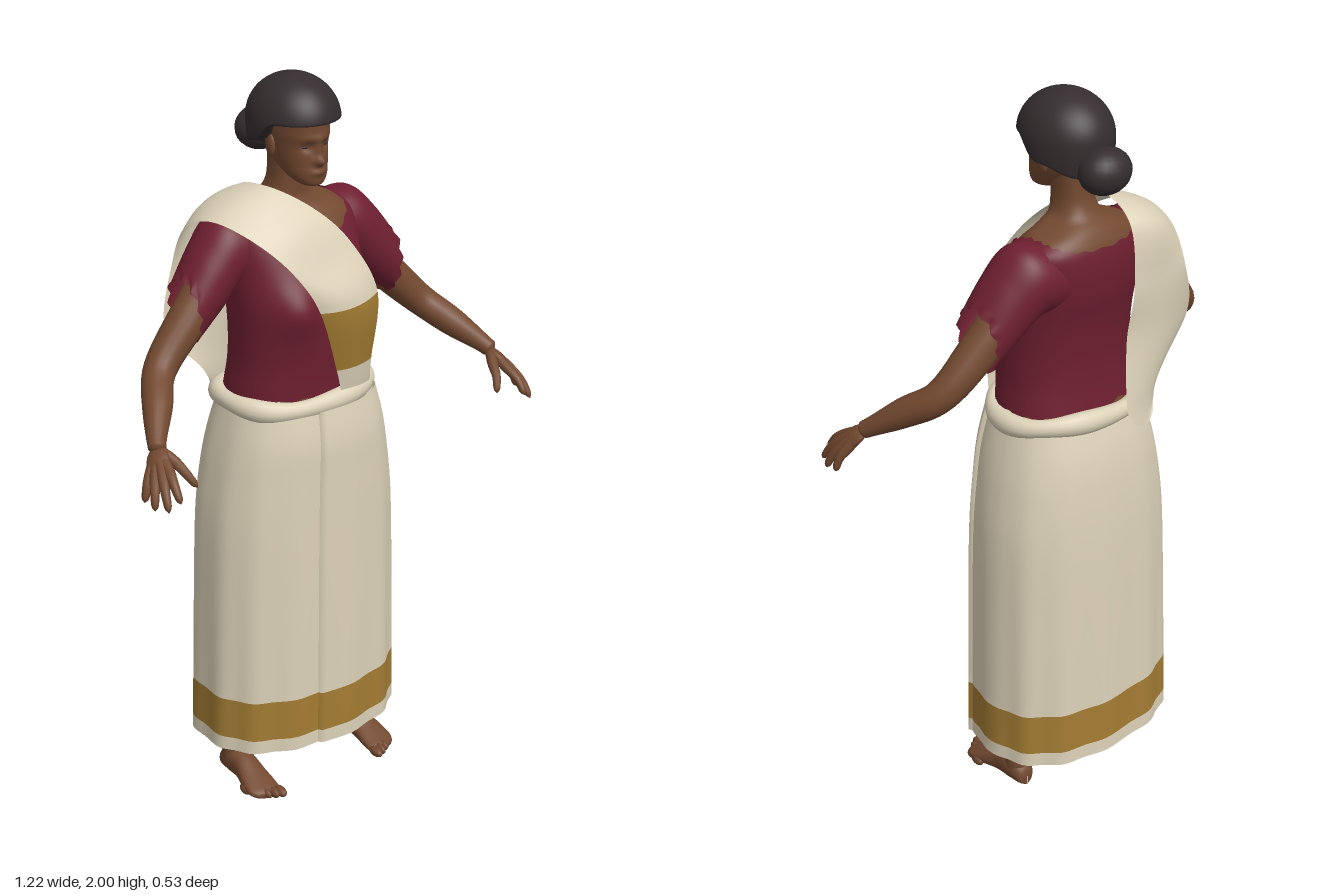
import * as THREE from 'three';
import { mergeVertices } from 'three/addons/utils/BufferGeometryUtils.js';

const paint = (name, color, double) => {
  const m = new THREE.MeshStandardMaterial({ color });
  m.name = name;
  if (double) m.side = THREE.DoubleSide;
  return m;
};
const V = (x, y, z) => new THREE.Vector3(x, y, z);
const TAU = Math.PI * 2;
const bump = (x, y, cx, cy, wx, wy) => Math.exp(-(((x - cx) / wx) ** 2) - ((y - cy) / wy) ** 2);

// Smooth grid surface from fn(u, v); side -1 mirrors it to the other half
function surface(fn, nu, nv, side = 1) {
  const pos = [], idx = [];
  for (let j = 0; j <= nv; j++) for (let i = 0; i <= nu; i++) {
    const p = fn(i / nu, j / nv);
    pos.push(p.x * side, p.y, p.z);
  }
  for (let j = 0; j < nv; j++) for (let i = 0; i < nu; i++) {
    const a = j * (nu + 1) + i, b = a + 1, c = b + nu + 1, d = a + nu + 1;
    if (side > 0) idx.push(a, b, c, a, c, d);
    else idx.push(a, c, b, a, d, c);
  }
  let g = new THREE.BufferGeometry();
  g.setAttribute('position', new THREE.Float32BufferAttribute(pos, 3));
  g.setIndex(idx);
  g = mergeVertices(g, 1e-5);
  g.computeVertexNormals();
  return g;
}

// Catmull-Rom interpolation of rows of numbers at row position s
function rowAt(rows, s) {
  const n = rows.length - 1, i = Math.max(0, Math.min(Math.floor(s), n - 1)), t = s - i;
  const r = k => rows[Math.max(0, Math.min(n, k))];
  return rows[i].map((p1, k) => {
    const p0 = r(i - 1)[k], p2 = r(i + 1)[k], p3 = r(i + 2)[k];
    return p1 + 0.5 * t * (p2 - p0 + t * (2 * p0 - 5 * p1 + 4 * p2 - p3 + t * (3 * (p1 - p2) + p3 - p0)));
  });
}

const pw = (c, p) => Math.sign(c) * Math.abs(c) ** p;
// Point on an upright body of rows [y, halfWidth, zFront, zBack]; angle 0 is the front
function around(rows, s, a, grow = 0, p = 0.85) {
  const [y, rx, zf, zb] = rowAt(rows, s);
  return V((rx + grow) * pw(Math.sin(a), p), y, (zf + zb) / 2 + ((zf - zb) / 2 + grow) * pw(Math.cos(a), p));
}

// Round limb through points [x, y, z, radius] with rounded ends
function limb(pts, side = 1, nu = 14, nv = 24) {
  const ref = V(0, 0, 1), curve = new THREE.CatmullRomCurve3(pts.map(p => V(p[0], p[1], p[2])));
  return surface((u, v) => {
    const c = curve.getPoint(v), T = curve.getTangent(v);
    const N = ref.clone().cross(T).normalize(), B = T.clone().cross(N);
    const cap = Math.min(1, Math.sqrt(Math.min(v, 1 - v) / 0.09));
    const r = rowAt(pts, v * (pts.length - 1))[3] * cap;
    return c.addScaledVector(N, r * Math.cos(u * TAU)).addScaledVector(B, r * Math.sin(u * TAU));
  }, nu, nv, side);
}

const TORSO = [
  [1.10, 0.19, 0.095, -0.18], [1.17, 0.188, 0.095, -0.17], [1.25, 0.178, 0.10, -0.16],
  [1.33, 0.176, 0.108, -0.16], [1.42, 0.178, 0.108, -0.17], [1.50, 0.18, 0.085, -0.185],
  [1.57, 0.185, 0.055, -0.19], [1.62, 0.18, 0.025, -0.185], [1.65, 0.145, 0.0, -0.172],
  [1.67, 0.10, -0.008, -0.157], [1.69, 0.065, -0.012, -0.135], [1.73, 0.051, -0.01, -0.118],
  [1.80, 0.05, -0.01, -0.115]];
function torso(s, a, grow) {
  const p = around(TORSO, s, a, grow);
  if (Math.cos(a) > 0) p.z += 0.026 * bump(Math.abs(p.x), p.y, 0.095, 1.42, 0.06, 0.07);
  return p;
}

const HEAD = [
  [1.727, 0.002, 0.05, 0.045], [1.734, 0.03, 0.068, 0.0], [1.755, 0.05, 0.073, -0.05],
  [1.79, 0.063, 0.071, -0.10], [1.83, 0.07, 0.069, -0.125], [1.87, 0.075, 0.073, -0.14],
  [1.92, 0.075, 0.066, -0.14], [1.97, 0.045, 0.02, -0.10]];

const SKIRT = [
  [0.14, 0.293, 0.15, -0.265], [0.18, 0.292, 0.15, -0.264], [0.30, 0.289, 0.15, -0.262],
  [0.55, 0.283, 0.149, -0.257], [0.80, 0.274, 0.147, -0.25], [0.95, 0.256, 0.145, -0.24],
  [1.05, 0.236, 0.142, -0.225], [1.14, 0.212, 0.125, -0.2]];

// Shawl rows, outer edge, middle and inner edge, from front waist over the shoulder to the back
const SHAWL = [
  [0.04, 1.17, 0.118, 0.10, 1.17, 0.115, 0.155, 1.17, 0.09],
  [0.02, 1.24, 0.125, 0.08, 1.24, 0.13, 0.145, 1.24, 0.108],
  [-0.045, 1.42, 0.142, 0.05, 1.42, 0.157, 0.15, 1.43, 0.125],
  [-0.11, 1.53, 0.12, -0.01, 1.53, 0.115, 0.09, 1.57, 0.085],
  [-0.18, 1.61, 0.055, -0.08, 1.63, 0.06, 0.01, 1.66, 0.035],
  [-0.24, 1.65, -0.05, -0.16, 1.69, -0.05, -0.08, 1.715, -0.05],
  [-0.26, 1.61, -0.15, -0.17, 1.65, -0.195, -0.08, 1.67, -0.185],
  [-0.27, 1.50, -0.20, -0.17, 1.50, -0.22, -0.075, 1.50, -0.215],
  [-0.315, 1.34, -0.17, -0.18, 1.34, -0.215, -0.06, 1.35, -0.205],
  [-0.20, 1.20, -0.18, -0.13, 1.18, -0.22, -0.04, 1.18, -0.23],
  [-0.14, 1.12, -0.225, -0.10, 1.10, -0.235, -0.05, 1.13, -0.24]];

export function createModel() {
  const root = new THREE.Group();
  const skin = paint('skin', 0x734930), maroon = paint('maroon cloth', 0x6e1f30, true);
  const cream = paint('cream cloth', 0xdcd1b8, true), gold = paint('gold border', 0xa37c33, true);
  const hair = paint('hair', 0x352d2f, true);
  const add = (name, geo, mat) => {
    const m = new THREE.Mesh(geo, mat);
    m.name = name;
    root.add(m);
    return m;
  };
  const blob = (name, mat, x, y, z, sx, sy, sz) => {
    const m = add(name, new THREE.SphereGeometry(1, 20, 14), mat);
    m.position.set(x, y, z);
    m.scale.set(sx, sy, sz);
    return m;
  };

  // Neck, chest and head
  add('neckAndChest', surface((u, v) => torso(v * 12, u * TAU, 0), 48, 48), skin);
  add('head', surface((u, v) => {
    const p = around(HEAD, v * 7, (u - 0.5) * TAU, 0, 0.95), ax = Math.abs(p.x);
    if (p.z > 0) p.z += 0.02 * bump(ax, p.y, 0, 1.797, 0.013, 0.012) + 0.009 * bump(ax, p.y, 0, 1.825, 0.009, 0.025)
      + 0.007 * bump(ax, p.y, 0, 1.768, 0.024, 0.01) + 0.004 * bump(ax, p.y, 0, 1.855, 0.05, 0.01)
      - 0.008 * bump(ax, p.y, 0.028, 1.833, 0.014, 0.012);
    return p;
  }, 96, 70), skin);

  // Hair cap with a lower edge that drops towards the back, and the bun
  add('hair', surface((u, v) => {
    const a = u * TAU, c = Math.cos(a);
    const low = 1.895 - 0.055 * THREE.MathUtils.smoothstep(-c, -0.45, 0.1) - 0.035 * THREE.MathUtils.smoothstep(-c, 0.2, 1);
    const t = Math.max(0, (v - 0.15) / 0.85), y = low + (2 - low) * Math.sin(t * Math.PI / 2);
    const k = y > 1.885 ? Math.sqrt(Math.max(0, 1 - ((y - 1.885) / 0.115) ** 2)) : 1 - 9 * (1.885 - y) ** 2;
    const f = k * (v < 0.15 ? 0.55 + 3 * v : 1);
    return V(0.116 * f * Math.sin(a), y, -0.039 + 0.132 * f * c);
  }, 56, 40), hair);
  blob('hairBun', hair, 0, 1.825, -0.18, 0.074, 0.06, 0.06);

  // Blouse, open at the neck
  add('blouse', surface((u, v) => {
    const a = u * TAU, c = Math.cos(a);
    const top = 8.2 - (c > 0 ? 2.1 * c * c : 1.0 * c * c) + 0.08 * Math.sin(a * 23);
    const low = 1 + 0.08 * Math.sin(a * 17);
    return torso(low + (top - low) * v, a, 0.009);
  }, 96, 40), maroon);

  const SLEEVE = [[0.11, 1.55, -0.085, 0.09, 0.095, 0], [0.19, 1.555, -0.085, 0.10, 0.092, 0.15],
    [0.25, 1.50, -0.075, 0.095, 0.084, 0.25], [0.32, 1.425, -0.065, 0.088, 0.074, 0.12]];
  const FOOT = [[-0.10, 0.197, 0.001, 0.03], [-0.092, 0.197, 0.026, 0.055], [-0.05, 0.197, 0.036, 0.085],
    [0.0, 0.198, 0.035, 0.08], [0.05, 0.202, 0.043, 0.055], [0.09, 0.203, 0.046, 0.036], [0.115, 0.198, 0.036, 0.025], [0.125, 0.196, 0.001, 0.015]];
  // Finger knuckle and tip points
  const FINGERS = [[0.543, 1.142, 0.192, 0.553, 1.08, 0.262], [0.558, 1.135, 0.187, 0.582, 1.06, 0.252],
    [0.569, 1.128, 0.173, 0.599, 1.055, 0.215], [0.573, 1.125, 0.155, 0.602, 1.062, 0.172],
    [0.513, 1.15, 0.172, 0.482, 1.092, 0.228]];

  for (const s of [1, -1]) {
    const n = s > 0 ? 'left' : 'right';
    add(n + 'Sleeve', surface((u, v) => {
      const [x, y, z, h, d, t] = rowAt(SLEEVE, v * 3), a = u * TAU;
      const frill = v > 0.95 ? 0.006 * Math.sin(a * 11) : 0;
      return V(x + Math.sin(t) * h * Math.cos(a) + frill, y + Math.cos(t) * h * Math.cos(a), z + d * Math.sin(a));
    }, 44, 24, s), maroon);
    add(n + 'Arm', limb([[0.20, 1.52, -0.08, 0.055], [0.31, 1.405, -0.065, 0.052], [0.42, 1.295, -0.035, 0.043],
      [0.475, 1.24, 0.04, 0.039], [0.527, 1.187, 0.115, 0.025], [0.54, 1.17, 0.14, 0.024]], s, 18, 36), skin);
    // Flat palm turned to follow the fingers
    const along = V(0.35, -0.6, 0.72).normalize(), across = V(0.5, -0.3, -0.6);
    const normal = along.clone().cross(across).normalize();
    across.copy(normal).cross(along);
    const palm = new THREE.Matrix4().makeBasis(along, across, normal).setPosition(0.55, 1.15, 0.157);
    add(n + 'Palm', surface((u, v) => V(0.046 * Math.sin(v * Math.PI) * Math.cos(u * TAU),
      0.032 * Math.sin(v * Math.PI) * Math.sin(u * TAU), -0.016 * Math.cos(v * Math.PI)).applyMatrix4(palm), 18, 12, s), skin);
    FINGERS.forEach(([kx, ky, kz, tx, ty, tz], i) => add(n + 'Finger' + (i + 1), limb([[0.535, 1.175, 0.13, 0.014],
      [kx, ky, kz, 0.0145], [(kx + tx) / 2 + 0.003, (ky + ty) / 2 + 0.006, (kz + tz) / 2 + 0.003, 0.012], [tx, ty, tz, 0.009]], s, 10, 18), skin));

    // Leg, foot and toes
    add(n + 'Leg', limb([[0.12, 0.95, -0.05, 0.09], [0.15, 0.6, -0.055, 0.07], [0.18, 0.36, -0.065, 0.055],
      [0.197, 0.17, -0.058, 0.037], [0.197, 0.06, -0.056, 0.035], [0.197, 0.02, -0.056, 0.034]], s, 18, 30), skin);
    add(n + 'Foot', surface((u, v) => {
      const [z, x, w, h] = rowAt(FOOT, v * 7), a = u * TAU;
      return V(x + w * Math.cos(a), h / 2 + h / 2 * pw(Math.sin(a), 0.8), z);
    }, 24, 28, s), skin);
    for (let i = 0; i < 5; i++)
      blob(n + 'Toe' + (i + 1), skin, s * (0.168 + i * 0.0185), 0.014, 0.128 - 0.004 * i * i, i ? 0.0105 : 0.014, 0.014, i ? 0.022 : 0.026);

    // Ear, eye and brow
    blob(n + 'Ear', skin, s * 0.073, 1.825, -0.035, 0.009, 0.03, 0.017);
    blob(n + 'Eye', hair, s * 0.028, 1.833, 0.053, 0.011, 0.004, 0.004);
  }

  // Wrapped skirt with gold border; the front flap lies over it with folded edges
  const bands = [['Hem', 0, 1, cream, 2], ['Border', 1, 2, gold, 4], ['Cloth', 2, 7, cream, 30]];
  const fold = (a, y) => 0.004 * Math.sin(a * 13) * (1.15 - y);
  for (const [name, s0, s1, mat, nv] of bands) {
    add('skirt' + name, surface((u, v) => {
      const s = s0 + (s1 - s0) * v, a = u * TAU;
      return around(SKIRT, s, a, fold(a, rowAt(SKIRT, s)[0]));
    }, 90, nv), mat);
    add('frontFlap' + name, surface((u, v) => {
      const s = s0 + (s1 - s0) * v, a = -0.13 + 1.23 * u;
      const lift = u === 0 || u === 1 ? 0 : 0.01;
      return around(SKIRT, s, a, lift + fold(a, rowAt(SKIRT, s)[0]));
    }, 40, nv), mat);
  }

  // Rolled waistband
  add('waistRoll', surface((u, v) => {
    const a = -v * TAU, b = u * TAU, r = 0.025 + 0.003 * Math.sin(a * 5);
    const k = r * Math.cos(b);
    return V((0.207 + k) * pw(Math.sin(a), 0.9), 1.15 + 0.005 * Math.sin(a * 3) + r * Math.sin(b) * 1.1,
      -0.043 + (0.153 + k) * pw(Math.cos(a), 0.9));
  }, 14, 80), cream);

  // Shawl over the right shoulder
  for (const [name, s0, s1, mat] of [['shawlEnd', 0, 1, cream], ['shawlBorder', 1, 2, gold], ['shawl', 2, 10, cream]])
    add(name, surface((u, v) => {
      const r = rowAt(SHAWL, s0 + (s1 - s0) * v);
      const w = [(1 - u) * (1 - 2 * u), 4 * u * (1 - u), u * (2 * u - 1)];
      const at = k => w[0] * r[k] + w[1] * r[k + 3] + w[2] * r[k + 6];
      return V(at(0), at(1), at(2));
    }, 16, (s1 - s0) * 8), mat);

  return root;
}
